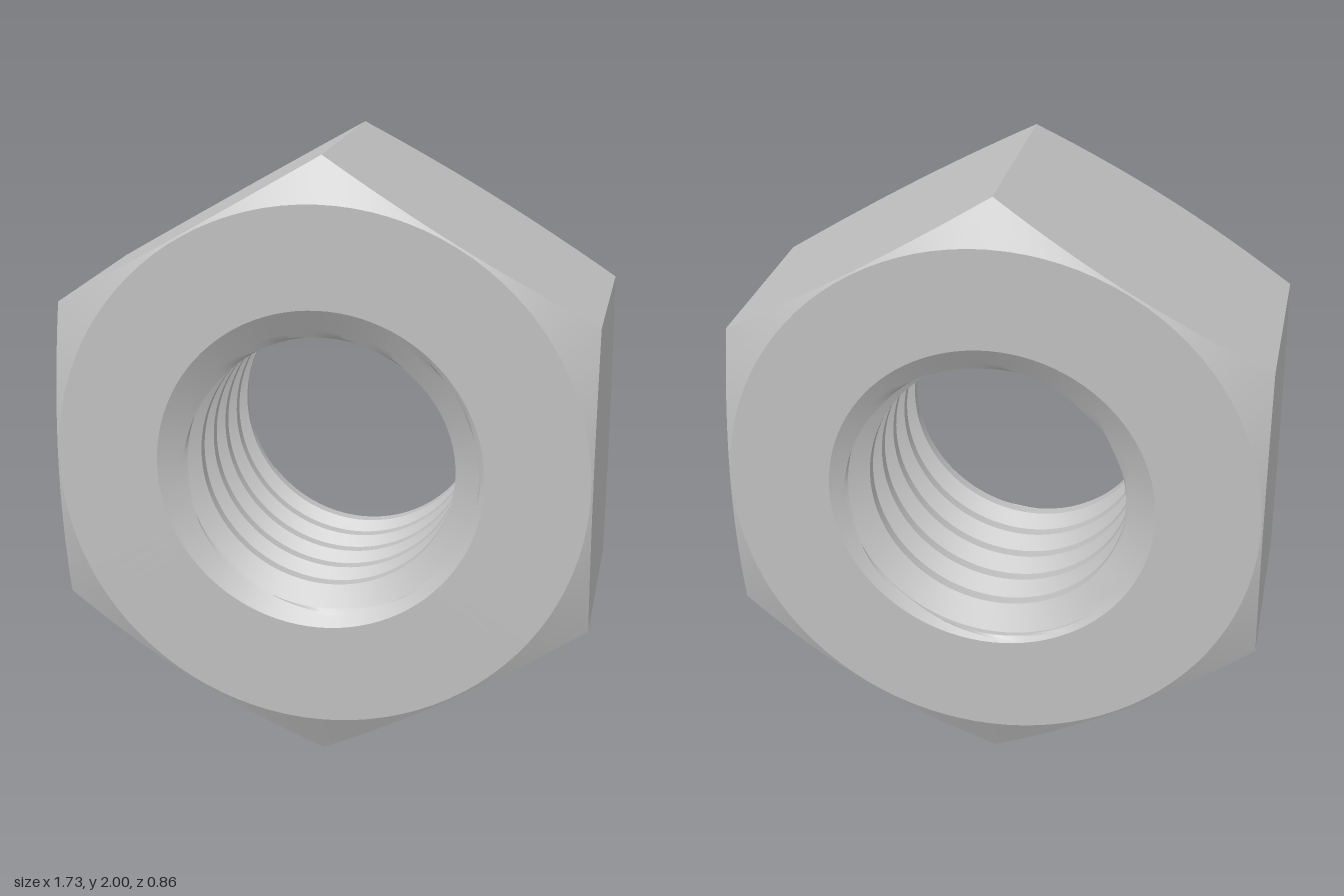
import * as THREE from 'three';
import { toCreasedNormals } from 'three/addons/utils/BufferGeometryUtils.js';

const HALF = 0.429;      // half thickness
const APOTHEM = 0.866;   // centre to flat
const FACE_R = 0.86;     // where the corner chamfer starts
const RIM_R = 0.53;      // countersink rim
const MINOR = 0.427, MAJOR = 0.51, PITCH = 0.153; // thread
const SEGMENTS = 96;

// Sweeps rows of [radius, z] around the z axis, both depending on the angle
function sweep(rows, pointAt) {
  const positions = [];
  const a = new THREE.Vector3(), b = new THREE.Vector3(), c = new THREE.Vector3();
  const vertex = (i, j) => {
    const angle = (i / SEGMENTS) * Math.PI * 2;
    const [r, z] = pointAt(angle, j);
    return new THREE.Vector3(r * Math.cos(angle), r * Math.sin(angle), z);
  };
  const triangle = (p, q, s) => {
    a.subVectors(q, p);
    b.subVectors(s, p);
    if (c.crossVectors(a, b).length() < 1e-8) return;
    for (const v of [p, q, s]) positions.push(v.x, v.y, v.z);
  };
  for (let i = 0; i < SEGMENTS; i++) {
    for (let j = 0; j < rows - 1; j++) {
      const p = vertex(i, j), q = vertex(i, j + 1);
      const s = vertex(i + 1, j + 1), t = vertex(i + 1, j);
      triangle(p, q, s);
      triangle(p, s, t);
    }
  }
  const geometry = new THREE.BufferGeometry();
  geometry.setAttribute('position', new THREE.Float32BufferAttribute(positions, 3));
  return toCreasedNormals(geometry, THREE.MathUtils.degToRad(20));
}

// Distance from the axis to the hexagon, with a corner pointing up
function hexRadius(angle) {
  const sector = Math.PI / 3;
  const local = ((angle + sector / 2) % sector) - sector / 2;
  return APOTHEM / Math.cos(local);
}

// Front face, corner chamfer, flats, chamfer, back face
function bodyPoint(angle, j) {
  const outer = hexRadius(angle);
  const edge = HALF - 0.52 * (outer - FACE_R);
  return [
    [RIM_R, HALF], [FACE_R, HALF], [outer, edge],
    [outer, -edge], [FACE_R, -HALF], [RIM_R, -HALF],
  ][j];
}

// Thread profile over one pitch: crest, flank, root, flank
function threadRadius(phase) {
  const t = phase - Math.floor(phase);
  const fromRoot = Math.abs(t - 0.625);
  const distance = Math.min(fromRoot, 1 - fromRoot);
  const depth = THREE.MathUtils.clamp((0.375 - distance) / 0.3125, 0, 1);
  return MINOR + (MAJOR - MINOR) * depth;
}

// Bore rows follow the helix and open into a countersink at each end
const STEPS = 16, START = -4, END = 4;
function borePoint(angle, j) {
  const phase = START + j / STEPS;
  const z = THREE.MathUtils.clamp((phase + angle / (Math.PI * 2)) * PITCH, -HALF, HALF);
  const countersink = RIM_R - (HALF - Math.abs(z)) * 1.6;
  return [Math.max(threadRadius(phase), countersink), z];
}

export function createModel() {
  const steel = new THREE.MeshStandardMaterial({ color: 0xbfbfbf });
  steel.name = 'steel';

  const nut = new THREE.Group();
  nut.name = 'hexNut';

  const body = new THREE.Mesh(sweep(6, bodyPoint), steel);
  body.name = 'hexBody';
  const bore = new THREE.Mesh(sweep((END - START) * STEPS + 1, borePoint), steel);
  bore.name = 'threadedBore';

  nut.add(body, bore);
  nut.position.y = 1;

  const model = new THREE.Group();
  model.add(nut);
  return model;
}
